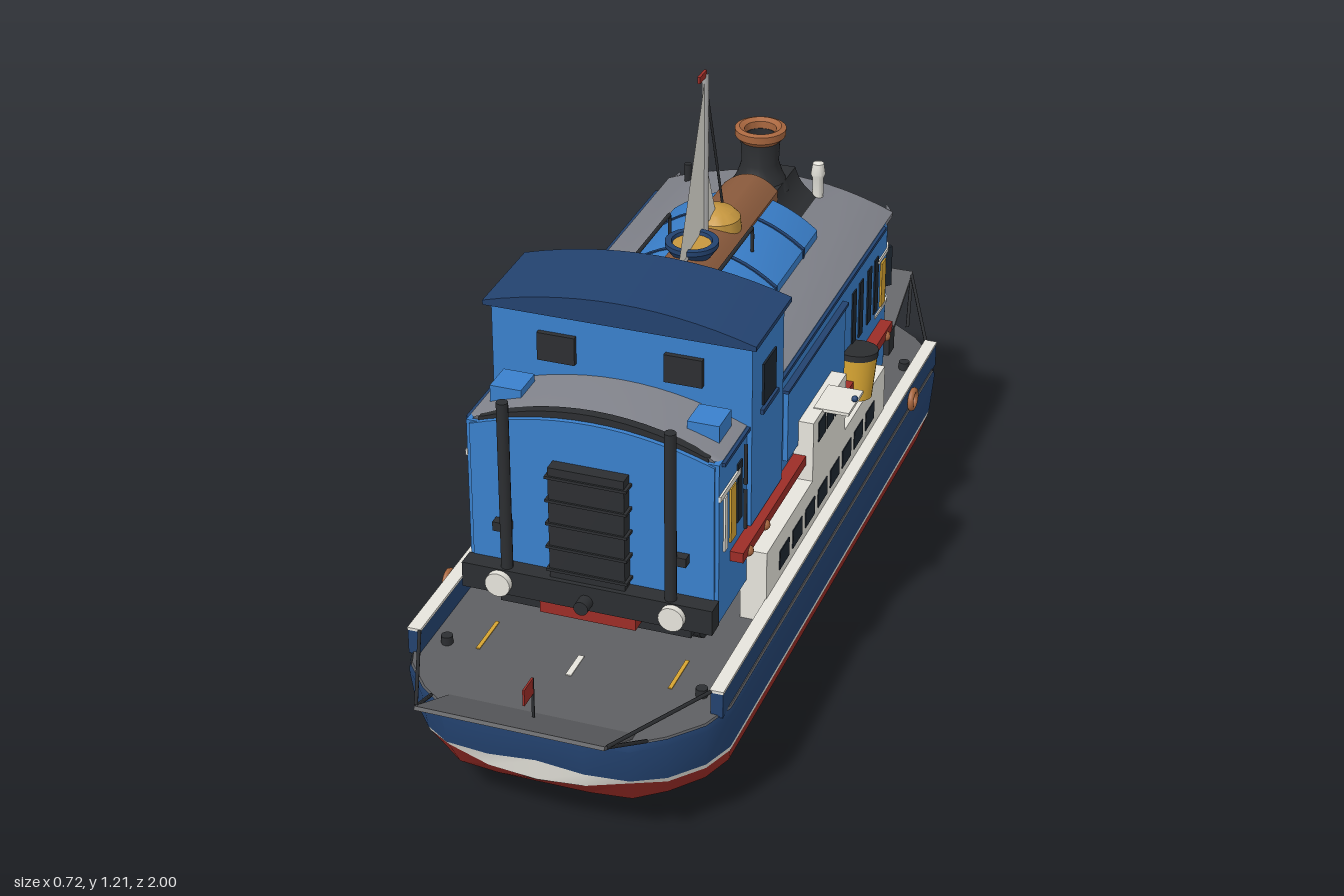
import * as THREE from 'three';
import { toCreasedNormals } from 'three/addons/utils/BufferGeometryUtils.js';

const C = { blue: 0x3a80cc, navy: 0x23426f, red: 0x9c2d27, dark: 0x2c2e31, roof: 0x80828a, deck: 0x5e5f62,
  white: 0xe6e4dc, copper: 0xa9673f, brown: 0x8a5a3c, brass: 0xc6973f, yellow: 0xd6a432, glass: 0x1d2630, steel: 0xaaaaaa };
const mats = {};
const mat = (c, side = THREE.FrontSide) => (mats[c + '_' + side] ??= new THREE.MeshStandardMaterial({ color: C[c], side }));

export function createModel() {
  const root = new THREE.Group();
  const V = (x, y, z) => new THREE.Vector3(x, y, z);
  const add = (name, geo, color, x = 0, y = 0, z = 0, side) => {
    const m = new THREE.Mesh(geo, mat(color, side));
    m.name = name;
    m.position.set(x, y, z);
    root.add(m);
    return m;
  };
  // box from its extents
  const box = (name, color, x0, x1, y0, y1, z0, z1) => add(name,
    new THREE.BoxGeometry(Math.abs(x1 - x0), y1 - y0, z1 - z0), color, (x0 + x1) / 2, (y0 + y1) / 2, (z0 + z1) / 2);
  const cyl = (name, color, r0, r1, h, x, y, z, n = 20) => add(name, new THREE.CylinderGeometry(r1, r0, h, n), color, x, y, z);
  const rod = (name, color, r, ...pts) => {
    const path = new THREE.CurvePath();
    for (let i = 1; i < pts.length; i++) path.add(new THREE.LineCurve3(V(...pts[i - 1]), V(...pts[i])));
    return add(name, new THREE.TubeGeometry(path, (pts.length - 1) * 6, r, 6), color);
  };
  const extrude = (shape, depth, bevel = 0) => toCreasedNormals(new THREE.ExtrudeGeometry(shape, {
    depth, curveSegments: 14, bevelEnabled: bevel > 0, bevelSize: bevel, bevelThickness: bevel, bevelOffset: -bevel, bevelSegments: 3 }), 0.6);
  // arched section running along z
  const arch = (name, color, w, base, edge, top, z0, z1, bevel = 0) => {
    const s = new THREE.Shape();
    s.moveTo(-w, base).lineTo(w, base).lineTo(w, edge).quadraticCurveTo(0, 2 * top - edge, -w, edge);
    return add(name, extrude(s, z1 - z0 - 2 * bevel, bevel), color, 0, 0, z0 + bevel);
  };
  // block with rounded plan corners, standing from y0 to y1
  const plan = (name, color, w, z0, z1, y0, y1, r) => {
    const s = new THREE.Shape(), a = -z1, b = -z0;
    s.moveTo(-w, a).lineTo(w, a).lineTo(w, b - r).quadraticCurveTo(w, b, w - r, b).lineTo(r - w, b).quadraticCurveTo(-w, b, -w, b - r);
    return add(name, extrude(s, y1 - y0).rotateX(-Math.PI / 2), color, 0, y0, 0);
  };

  // hull: stacked rings, with the waterline dipping and rising at both ends
  const ring = ([y, w, l, mid = 0, cheek = 0]) => {
    const k = w / 0.33;
    const q = [[0, l, mid], [0.1 * k, l, mid / 2], [0.19 * k, l - 0.01, cheek], [0.25 * k, l - 0.055, 0], [0.305 * k, l - 0.12, 0], [w, l - 0.19, 0]];
    const half = [...q, ...q.slice(1).reverse().map(([x, z, d]) => [x, -z, d]), [0, -l, mid]];
    return [...half, ...half.slice(1, -1).reverse().map(([x, z, d]) => [-x, z, d])].map(([x, z, d]) => [x, y + d, z]);
  };
  const hull = (name, color, layers, bottom, deck) => {
    const pos = [], rings = layers.map(ring), n = rings[0].length;
    for (let i = 0; i < n; i++) {
      const j = (i + 1) % n;
      for (let k = 0; k + 1 < rings.length; k++) {
        const a = rings[k], b = rings[k + 1];
        pos.push(...a[i], ...a[j], ...b[j], ...a[i], ...b[j], ...b[i]);
      }
      if (bottom) pos.push(0, layers[0][0], 0, ...rings[0][j], ...rings[0][i]);
      if (deck) pos.push(0, layers.at(-1)[0], 0, ...rings.at(-1)[i], ...rings.at(-1)[j]);
    }
    const g = new THREE.BufferGeometry();
    g.setAttribute('position', new THREE.Float32BufferAttribute(pos, 3));
    add(name, toCreasedNormals(g, 0.6), color);
  };
  const redTop = [0.148, 0.324, 0.872, -0.018, 0.012], whiteTop = [0.16, 0.326, 0.877, 0.018, 0.008];
  hull('lowerHull', 'red', [[0.07, 0.265, 0.72], [0.077, 0.285, 0.77], [0.1, 0.31, 0.84], redTop], true);
  hull('waterline', 'white', [redTop, whiteTop]);
  hull('upperHull', 'navy', [whiteTop, [0.245, 0.332, 0.89], [0.258, 0.33, 0.887]]);
  hull('deck', 'deck', [[0.254, 0.329, 0.886], [0.26, 0.327, 0.884]], false, true);
  box('keelPlate', 'red', -0.13, 0.13, 0.06, 0.075, -0.2, 0.2);
  box('keel', 'red', -0.008, 0.008, 0, 0.07, -0.06, 0.09);

  // ramps, stays and deck markings at both ends
  for (const s of [-1, 1]) {
    add('ramp', new THREE.BoxGeometry(0.38, 0.008, 0.175), 'deck', 0, 0.296, s * 0.921).rotation.x = -s * 0.46;
    box('deckLine', 'white', -0.006, 0.006, 0.26, 0.262, s * 0.67 - 0.035, s * 0.67 + 0.035);
    for (const x of [-1, 1]) {
      rod('rampStay', 'dark', 0.004, [x * 0.19, 0.332, s * 0.99], [x * 0.3, 0.31, s * 0.73]);
      rod('rampArm', 'dark', 0.004, [x * 0.19, 0.332, s * 0.99], [x * 0.22, 0.265, s * 0.86]);
      box('laneLine', 'yellow', x * 0.2 - 0.004, x * 0.2 + 0.004, 0.26, 0.262, s * 0.63 - 0.05, s * 0.63 + 0.05);
      cyl('bollard', 'dark', 0.012, 0.012, 0.02, x * 0.265, 0.268, s * 0.68, 10);
    }
    // life rings, one per side at opposite ends
    const life = add('lifeRing', new THREE.TorusGeometry(0.02, 0.007, 8, 20), 'copper', -s * 0.335, 0.285, s * 0.51);
    life.rotation.y = Math.PI / 2;
  }
  rod('flagStaff', 'dark', 0.003, [0, 0.26, 0.88], [0, 0.37, 0.88]);
  box('sternFlag', 'red', -0.002, 0.002, 0.335, 0.37, 0.88, 0.925);

  // ferry sides: bulwark, saloon, wheelhouse, funnel
  for (const x of [-1, 1]) {
    box('bulwark', 'navy', x * 0.3, x * 0.325, 0.255, 0.308, -0.73, 0.73);
    box('bulwarkRail', 'white', x * 0.298, x * 0.326, 0.308, 0.314, -0.73, 0.73);
    box('saloon', 'white', x * 0.245, x * 0.3, 0.26, 0.42, -0.4, 0.4);
    for (let i = 0; i < 8; i++) {
      const z = -0.29 + i * 0.083;
      box('saloonWindow', 'glass', x * 0.298, x * 0.302, 0.335, 0.377, z - 0.03, z + 0.03);
    }
    box('wheelhouse', 'white', x * 0.25, x * 0.3, 0.42, 0.555, -0.11, 0.11);
    for (const z of [-0.055, 0, 0.055]) box('wheelhouseWindow', 'glass', x * 0.298, x * 0.302, 0.495, 0.54, z - 0.022, z + 0.022);
    box('bridgeWing', 'white', x * 0.28, x * 0.355, 0.55, 0.557, -0.05, 0.05);
    add('navLight', new THREE.SphereGeometry(0.007, 10, 8), x < 0 ? 'red' : 'navy', x * 0.352, 0.564, 0);
    cyl('ferryFunnel', 'yellow', 0.037, 0.045, 0.1, x * 0.277, 0.475, -0.255).rotation.x = -0.1;
    cyl('ferryFunnelCap', 'dark', 0.046, 0.046, 0.014, x * 0.277, 0.525, -0.26).rotation.x = -0.1;
    box('redRunningBoard', 'red', x * 0.25, x * 0.285, 0.455, 0.477, -0.5, 0.5);
    for (const z of [-0.46, -0.36, 0.36, 0.46]) add('boardLamp', new THREE.SphereGeometry(0.012, 10, 8), 'copper', x * 0.281, 0.46, z);
  }

  // railcar body with arched roof
  plan('carBody', 'blue', 0.258, -0.578, 0.565, 0.35, 0.705, 0.06);
  arch('carRoof', 'roof', 0.258, 0.695, 0.705, 0.757, -0.585, 0.56, 0.02);
  arch('frontEndPanel', 'blue', 0.25, 0.4, 0.7, 0.745, 0.56, 0.57);
  arch('frontRoofRim', 'dark', 0.235, 0.705, 0.712, 0.76, 0.54, 0.56);
  plan('rearWhiteBand', 'white', 0.261, -0.581, -0.45, 0.628, 0.637, 0.06);
  plan('rearLowerBand', 'white', 0.261, -0.581, -0.45, 0.503, 0.51, 0.06);
  box('underframe', 'dark', -0.2, 0.2, 0.3, 0.36, -0.56, 0.56);
  for (const z of [-0.48, -0.32, 0.32, 0.48]) for (const x of [-0.19, 0.19]) cyl('wheel', 'dark', 0.05, 0.05, 0.03, x, 0.31, z).rotation.z = Math.PI / 2;

  // buffer beams, headlights, couplings
  for (const s of [-1, 1]) {
    box('bufferBeam', 'dark', -0.26, 0.26, 0.35, 0.405, s * 0.588 - 0.02, s * 0.588 + 0.02);
    box('couplingBlock', 'red', -0.1, 0.1, 0.32, 0.35, s * 0.58 - 0.02, s * 0.58 + 0.02);
    cyl('coupling', 'dark', 0.015, 0.015, 0.05, 0, 0.37, s * 0.61).rotation.x = Math.PI / 2;
    for (const x of [-0.18, 0.18]) cyl('headlight', 'white', 0.026, 0.026, 0.02, x, 0.377, s * 0.612).rotation.x = Math.PI / 2;
  }

  // front gangway door and exhaust stacks
  box('gangwayDoor', 'dark', -0.078, 0.078, 0.395, 0.652, 0.56, 0.598);
  for (let i = 0; i < 5; i++) box('gangwayRib', 'dark', -0.084, 0.084, 0.42 + i * 0.052, 0.426 + i * 0.052, 0.56, 0.602);
  for (const x of [-1, 1]) {
    cyl('exhaustStack', 'dark', 0.012, 0.012, 0.37, x * 0.17, 0.59, 0.592, 12);
    box('stackBracket', 'dark', x * 0.165, x * 0.2, 0.48, 0.5, 0.565, 0.59);
    box('cornerStripe', 'white', x * 0.257, x * 0.262, 0.625, 0.637, 0.45, 0.566);
    // side doors, windows and panels
    box('frontDoor', 'yellow', x * 0.257, x * 0.262, 0.5, 0.62, 0.475, 0.505);
    box('frontDoorPost', 'white', x * 0.257, x * 0.262, 0.5, 0.62, 0.525, 0.54);
    box('rearDoor', 'yellow', x * 0.257, x * 0.262, 0.515, 0.62, -0.515, -0.485);
    for (const z of [-0.45, -0.4, -0.34, -0.29, 0.45]) box('sideWindow', 'glass', x * 0.257, x * 0.261, 0.52, 0.65, z - 0.013, z + 0.013);
    box('sidePanel', 'blue', x * 0.25, x * 0.268, 0.5, 0.66, -0.2, 0.18);
    box('sidePanelTop', 'navy', x * 0.25, x * 0.272, 0.66, 0.667, -0.21, 0.19);
    box('gutter', 'navy', x * 0.25, x * 0.265, 0.695, 0.703, -0.5, 0.55);
    for (const y of [0.52, 0.62]) rod('handrail', 'dark', 0.004, [x * 0.265, y - 0.03, 0.43], [x * 0.265, y + 0.06, 0.43]);

    // rear end windows and lamps
    box('rearWindow', x > 0 ? 'yellow' : 'glass', x * 0.08, x * 0.19, 0.525, 0.622, -0.582, -0.57);
    add('cornerWindow', new THREE.BoxGeometry(0.05, 0.095, 0.01), 'glass', x * 0.238, 0.573, -0.558).rotation.y = x * 0.785;
    for (const y of [0.45, 0.665]) cyl('rearLamp', 'white', 0.013, 0.013, 0.012, x * 0.15, y, -0.58, 12).rotation.x = Math.PI / 2;
    box('roofVent', 'blue', x * 0.17, x * 0.235, 0.71, 0.75, 0.43, 0.5);
    rod('rearHandrail', 'dark', 0.004, [x * 0.1, 0.44, -0.587], [x * 0.1, 0.5, -0.587]);
  }
  box('rearDoorWindow', 'glass', -0.06, 0.06, 0.525, 0.64, -0.583, -0.57);
  box('rearDoorPanel', 'yellow', -0.075, 0.075, 0.415, 0.5, -0.583, -0.57);
  box('routeBox', 'dark', -0.06, 0.06, 0.66, 0.69, -0.585, -0.57);
  for (const x of [-0.03, 0.03]) box('routeBoxLens', 'white', x - 0.012, x + 0.012, 0.667, 0.683, -0.588, -0.58);

  // driver's cab
  box('cab', 'blue', -0.268, 0.268, 0.48, 0.882, 0.215, 0.405);
  arch('cabRoof', 'navy', 0.28, 0.878, 0.888, 0.93, 0.205, 0.42);
  for (const x of [-1, 1]) {
    box('cabSideWindow', 'glass', x * 0.265, x * 0.272, 0.72, 0.81, 0.27, 0.345);
    box('cabSideSill', 'navy', x * 0.265, x * 0.275, 0.705, 0.715, 0.26, 0.355);
    for (const z of [0.21, 0.41]) box('cabEndWindow', 'dark', x * 0.092, x * 0.17, 0.775, 0.835, z - 0.006, z + 0.006);
  }

  // saddle tank, boiler and smokebox
  arch('tank', 'blue', 0.16, 0.7, 0.755, 0.818, -0.345, 0.21, 0.012);
  for (const z of [-0.24, -0.06, 0.12]) arch('tankStrap', 'navy', 0.162, 0.7, 0.757, 0.82, z - 0.005, z + 0.005);
  arch('boilerTop', 'brown', 0.06, 0.72, 0.815, 0.845, -0.37, 0.21);
  const saddle = new THREE.Shape();
  saddle.moveTo(-0.145, 0.7).lineTo(0.145, 0.7).lineTo(0.145, 0.735).quadraticCurveTo(0.07, 0.75, 0.055, 0.81).lineTo(-0.055, 0.81).quadraticCurveTo(-0.07, 0.75, -0.145, 0.735);
  add('smokeboxSaddle', extrude(saddle, 0.14), 'dark', 0, 0, -0.505);
  const lathe = (name, color, pts, z, x = 0) => add(name,
    toCreasedNormals(new THREE.LatheGeometry(pts.map(p => new THREE.Vector2(...p)), 28), 0.6), color, x, 0, z, THREE.DoubleSide);
  lathe('chimney', 'dark', [[0.065, 0.79], [0.048, 0.825], [0.04, 0.85], [0.043, 0.91], [0.033, 0.91], [0.033, 0.85], [0, 0.85]], -0.43);
  lathe('chimneyCap', 'copper', [[0.042, 0.9], [0.054, 0.912], [0.055, 0.928], [0.045, 0.932], [0.034, 0.926], [0.034, 0.9]], -0.43);
  lathe('steamDome', 'brass', [[0.053, 0.81], [0.05, 0.85], [0.035, 0.865], [0, 0.872]], -0.15);
  lathe('whistle', 'white', [[0.012, 0.73], [0.012, 0.79], [0.016, 0.8], [0.012, 0.825], [0, 0.83]], -0.51, 0.105);
  for (const x of [-0.2, -0.04, 0.04]) cyl('roofPipe', 'dark', 0.008, 0.008, 0.05, x, 0.74, -0.53, 10);

  // tank-top rails
  for (const x of [-0.09, 0.09]) rod('tankRail', 'dark', 0.004, [x, 0.8, -0.115], [x, 0.855, -0.115], [x, 0.855, 0.11], [x, 0.8, 0.11]);

  // small sailing boat on the boiler
  lathe('boatTub', 'navy', [[0.03, 0.82], [0.055, 0.855], [0.055, 0.865], [0.042, 0.865], [0.04, 0.855]], 0);
  cyl('boatDeck', 'brass', 0.04, 0.04, 0.01, 0, 0.853, 0);
  rod('mast', 'steel', 0.007, [0, 0.83, -0.08], [0, 1.2, -0.08]);
  rod('boom', 'steel', 0.005, [0, 0.85, -0.08], [0.01, 0.85, 0.12]);
  rod('forestay', 'dark', 0.003, [0, 1.18, -0.08], [0, 0.85, -0.19]);
  const sail = (name, a, b, c) => {
    const g = new THREE.BufferGeometry().setFromPoints([V(...a), V(...b), V(...c)]);
    g.computeVertexNormals();
    add(name, g, 'white', 0, 0, 0, THREE.DoubleSide);
  };
  sail('mainSail', [0, 0.855, -0.075], [0.012, 0.845, 0.12], [0, 1.185, -0.075]);
  sail('jib', [0, 0.86, -0.085], [0, 0.86, -0.145], [0, 1.0, -0.085]);
  box('pennant', 'red', -0.003, 0.003, 1.193, 1.207, -0.08, -0.04);
  return root;
}
